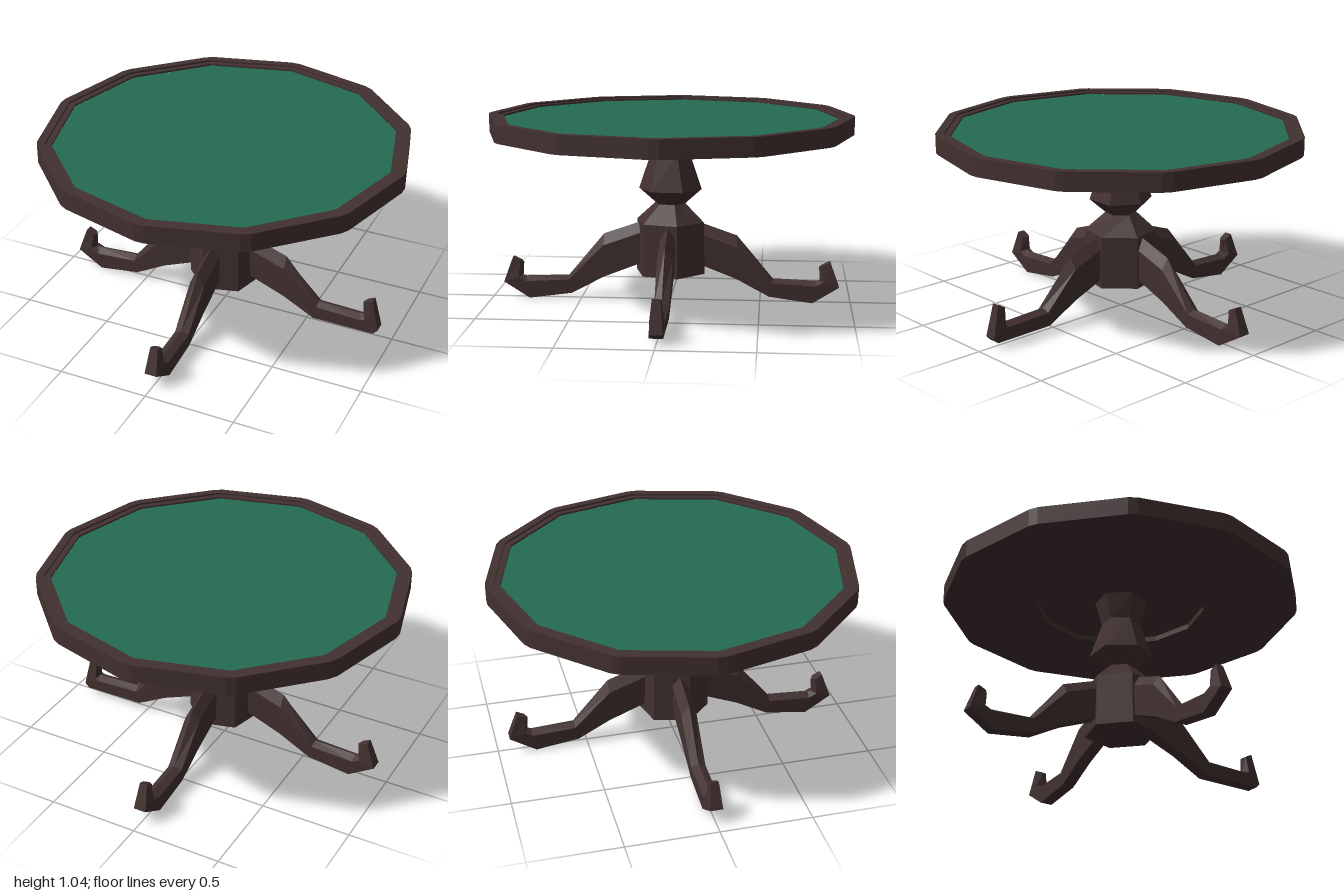
import * as THREE from 'three';

// Skin a list of equal-length point rings with hard facets; optional end caps.
function loft(rings, capStart, capEnd) {
  const pos = [];
  const tri = (a, b, c) => pos.push(...a, ...b, ...c);
  const n = rings[0].length;
  for (let i = 0; i < rings.length - 1; i++) {
    for (let j = 0; j < n; j++) {
      const k = (j + 1) % n;
      const a = rings[i][j], b = rings[i][k], c = rings[i + 1][k], d = rings[i + 1][j];
      tri(a, b, c);
      tri(a, c, d);
    }
  }
  const first = rings[0], last = rings[rings.length - 1];
  for (let j = 1; j < n - 1; j++) {
    if (capStart) tri(first[0], first[j + 1], first[j]);
    if (capEnd) tri(last[0], last[j], last[j + 1]);
  }
  const g = new THREE.BufferGeometry();
  g.setAttribute('position', new THREE.Float32BufferAttribute(pos, 3));
  g.computeVertexNormals();
  return g;
}

// Horizontal polygon ring; a bevel angle splits every corner in two.
function ring(r, y, sides, twist = 0, bevel = 0) {
  const pts = [];
  for (let i = 0; i < sides; i++) {
    for (const s of bevel ? [-1, 1] : [0]) {
      const a = (i / sides) * Math.PI * 2 + THREE.MathUtils.degToRad(twist + s * bevel);
      pts.push([r * Math.sin(a), y, r * Math.cos(a)]);
    }
  }
  return pts;
}

// Ridged five-sided leg section between a top point and a bottom point.
function legSection([tx, ty, bx, by, w, ridge]) {
  const sx = tx + (bx - tx) * ridge, sy = ty + (by - ty) * ridge;
  return [[tx, ty, 0], [sx, sy, w], [bx, by, w * 0.9], [bx, by, -w * 0.9], [sx, sy, -w]];
}

export function createModel() {
  const model = new THREE.Group();
  const wood = new THREE.MeshStandardMaterial({ color: 0x423130 });
  wood.name = 'dark wood';
  const green = new THREE.MeshStandardMaterial({ color: 0x256b54 });
  green.name = 'green felt';
  const add = (name, geometry, material) => {
    const mesh = new THREE.Mesh(geometry, material);
    mesh.name = name;
    model.add(mesh);
    return mesh;
  };

  // Twelve-sided top: recessed underside, outer edge, stepped raised rim
  const topProfile = [
    [0.47, 0.98, 0.01], [0.47, 0.95, 0.01], [1, 0.95, 1.5], [1, 1.05, 1.5],
    [0.957, 1.05, 0.5], [0.957, 1.04, 0.5], [0.925, 1.04, 0.01], [0.925, 1.03, 0.01],
  ];
  add('tableTop', loft(topProfile.map(([r, y, bevel]) => ring(r, y, 12, 0, bevel)), true, false), wood);

  // Playing surface
  const felt = add('feltSurface', new THREE.CircleGeometry(0.925, 12).rotateX(-Math.PI / 2), green);
  felt.position.y = 1.03;

  // Six-sided, slightly twisted pedestal
  const columnProfile = [
    [0.2, 0.17, -15], [0.195, 0.46, -15], [0.085, 0.56, -10],
    [0.174, 0.64, -3], [0.107, 0.84, -5], [0.145, 0.98, -8],
  ];
  add('pedestal', loft(columnProfile.map(([r, y, t]) => ring(r, y, 6, t)), true, true), wood);

  // Four curved legs with upturned feet: top x, top y, bottom x, bottom y, half width, ridge
  const leg = [
    [0.14, 0.46, 0.14, 0.23, 0.04, 0.25],
    [0.37, 0.38, 0.37, 0.14, 0.042, 0.25],
    [0.57, 0.14, 0.55, 0.043, 0.04, 0.2],
    [0.81, 0.13, 0.79, 0.01, 0.04, 0.2],
    [0.83, 0.135, 0.935, 0.1, 0.038, 0.2],
    [0.825, 0.21, 0.885, 0.24, 0.024, 0.3],
  ];
  // The left leg has a flatter foot
  const flatLeg = leg.map((s) => [...s]);
  flatLeg[3].splice(2, 2, 0.9, 0.04);
  flatLeg[4].splice(2, 2, 0.925, 0.065);
  const names = ['leftLeg', 'backLeg', 'rightLeg', 'frontLeg'];
  names.forEach((name, i) => {
    const sections = (i === 0 ? flatLeg : leg).map(legSection);
    add(name, loft(sections, true, true), wood).rotation.y = (i * Math.PI) / 2;
  });

  return model;
}
